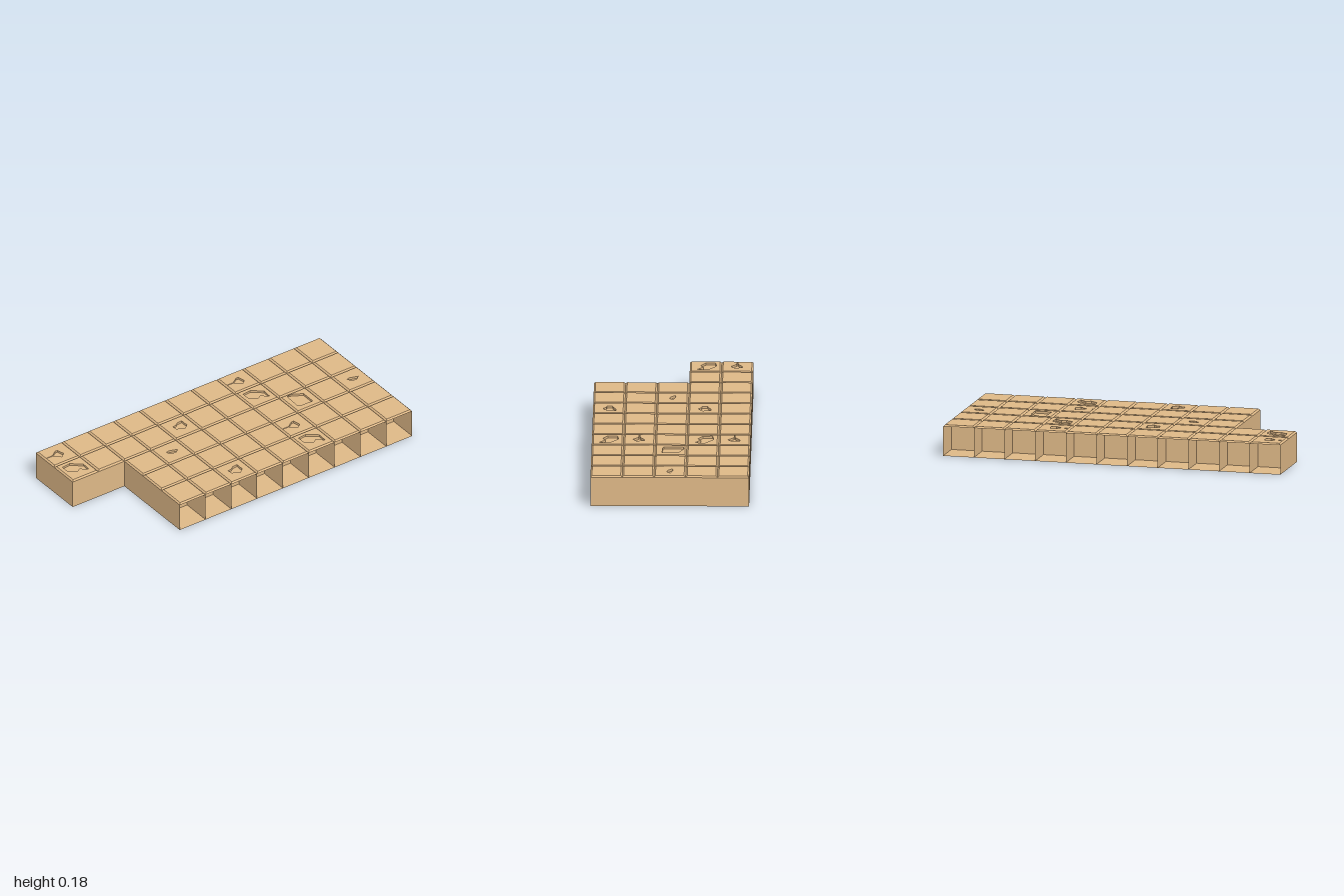
import * as THREE from 'three';

const COLS = 11, ROWS = 5, S = 2 / COLS; // square tiles
const TOP = S, EDGE = S - 0.009, INSET = 0.009, DEPTH = 0.013;
const STUB_COLS = 2, STUB_ROWS = 2; // narrow strip on the back right corner
const half = S / 2, zBack = -ROWS * half;

const mat = new THREE.MeshStandardMaterial({ color: 0xdeb887, side: THREE.DoubleSide, flatShading: true });

// Chipped outlines in tile space, as [x, z]
const CHIPS = {
  crack: [[-0.081, -0.002], [-0.038, -0.002], [0.002, -0.03], [0.017, -0.03], [0.028, 0.016], [0, 0.038], [-0.038, 0.003], [-0.081, 0.002]],
  flake: [[-0.06, -0.055], [-0.005, -0.062], [0.058, -0.012], [0.053, 0.048], [0.012, 0.012], [-0.014, 0.029], [-0.057, 0]],
  heart: [[-0.034, -0.02], [-0.01, -0.024], [0.01, -0.038], [0.043, -0.042], [0.042, -0.012], [0.045, 0.008], [0.012, 0.035], [-0.01, 0.014], [-0.029, 0.012]],
  leaf: [[-0.036, -0.014], [-0.012, -0.018], [0.038, -0.002], [0.012, 0.018], [-0.012, 0.012]],
  slab: [[-0.05, -0.072], [-0.03, -0.082], [0.044, -0.042], [0.044, 0.05], [-0.04, 0.046], [-0.054, 0.04]],
};
// Which tiles are chipped, keyed "column,row"
const PLACED = {
  '0,0': 'crack', '7,0': 'crack', '7,3': 'crack',
  '0,1': 'flake', '7,1': 'flake', '7,4': 'flake',
  '4,1': 'heart', '4,4': 'heart',
  '3,2': 'leaf', '10,2': 'leaf', '8,2': 'slab',
};

function add(parent, geometry, name, x = 0, y = 0, z = 0) {
  const mesh = new THREE.Mesh(geometry, mat);
  mesh.name = name;
  mesh.position.set(x, y, z);
  parent.add(mesh);
  return mesh;
}

// Flat shape laid level, facing up
const level = (shape) => new THREE.ShapeGeometry(shape).rotateX(-Math.PI / 2);
const outline = (pts) => pts.map(([x, z]) => new THREE.Vector2(x, -z));

// Upright sides of a recess
function recessSides(pts) {
  const v = [];
  pts.forEach(([x, z], i) => {
    const [u, w] = pts[(i + 1) % pts.length];
    v.push(x, 0, z, x, -DEPTH, z, u, -DEPTH, w, x, 0, z, u, -DEPTH, w, u, 0, w);
  });
  const g = new THREE.BufferGeometry();
  g.setAttribute('position', new THREE.Float32BufferAttribute(v, 3));
  g.computeVertexNormals();
  return g;
}

const r = half - INSET;
const bevelGeo = new THREE.CylinderGeometry(r * Math.SQRT2, half * Math.SQRT2, TOP - EDGE, 4, 1, true).rotateY(Math.PI / 4);
const wallZ = new THREE.PlaneGeometry(S, EDGE);
const wallX = wallZ.clone().rotateY(Math.PI / 2);

// Bevelled tile top, with a recess where it is chipped
function tileTop(chip) {
  const g = new THREE.Group();
  g.name = 'tileTop';
  add(g, bevelGeo, 'tileBevel', 0, (EDGE + TOP) / 2, 0);
  const face = new THREE.Shape(outline([[-r, -r], [-r, r], [r, r], [r, -r]]));
  if (chip) {
    const pts = CHIPS[chip];
    face.holes.push(new THREE.Path(outline(pts)));
    add(g, level(new THREE.Shape(outline(pts))), 'chipFloor', 0, TOP - DEPTH, 0);
    add(g, recessSides(pts), 'chipSides', 0, TOP, 0);
  }
  add(g, level(face), 'tileFace', 0, TOP, 0);
  return g;
}

export function createModel() {
  const model = new THREE.Group();
  model.name = 'tiledPlatform';

  for (let row = 0; row < ROWS; row++) {
    for (let col = 0; col < COLS; col++) {
      if (row >= STUB_ROWS && col < STUB_COLS) continue;
      const x = -1 + (col + 0.5) * S, z = zBack + (row + 0.5) * S;
      const top = tileTop(PLACED[`${col},${row}`]);
      top.position.set(x, 0, z);
      model.add(top);

      // Walls between cells; the front and back rows stay open outwards
      add(model, wallX, 'sideWall', x - half, EDGE / 2, z);
      if (col === COLS - 1) add(model, wallX, 'endWall', x + half, EDGE / 2, z);
      if (row > 0) add(model, wallZ, 'crossWall', x, EDGE / 2, z - half);
      if (row === STUB_ROWS - 1 && col < STUB_COLS) add(model, wallZ, 'stubFront', x, EDGE / 2, z + half);
    }
  }

  // L-shaped underside
  const xs = -1 + STUB_COLS * S, zs = zBack + STUB_ROWS * S;
  const base = new THREE.Shape(outline([[-1, zBack], [-1, zs], [xs, zs], [xs, -zBack], [1, -zBack], [1, zBack]]));
  add(model, level(base), 'underside');
  return model;
}
